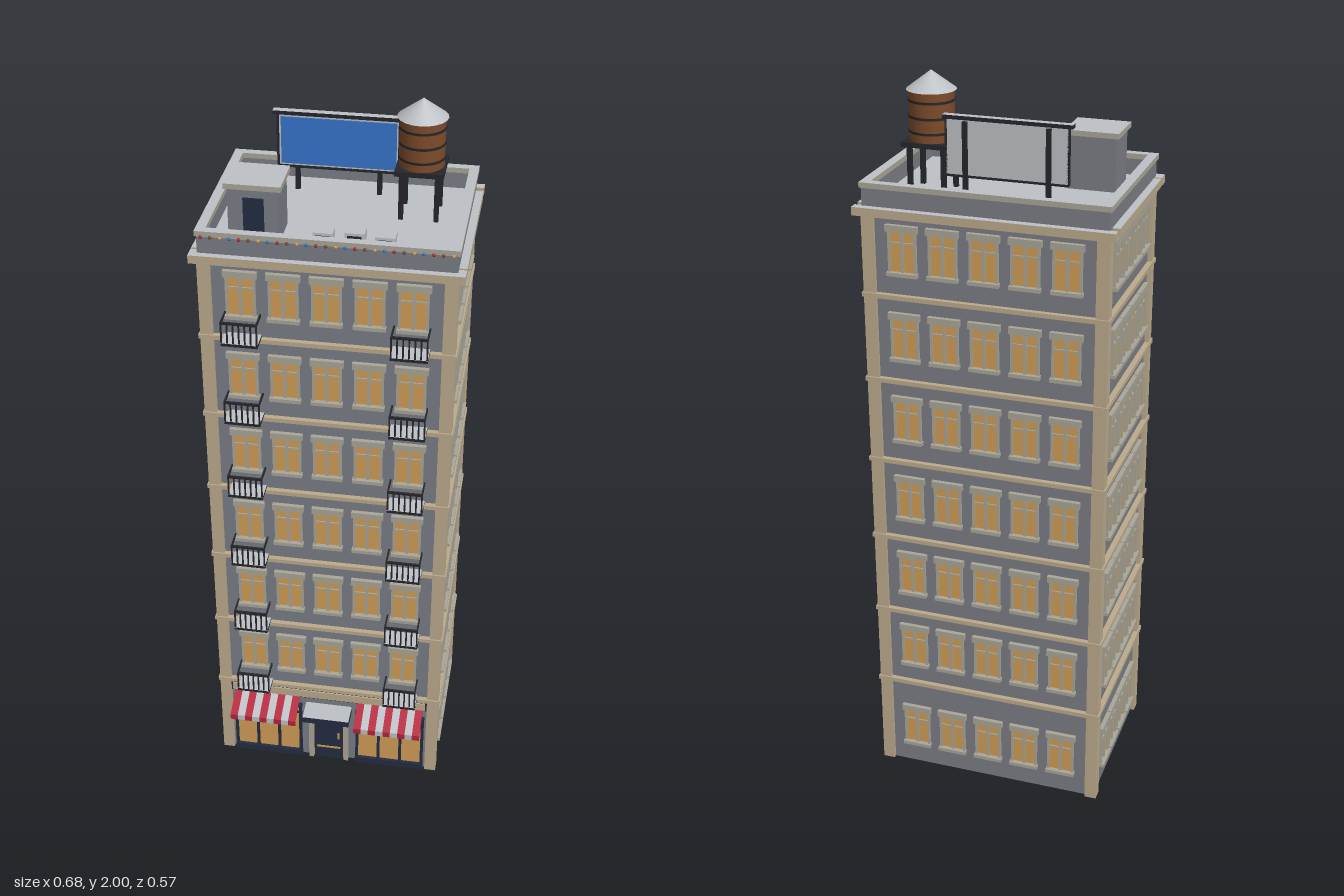
import * as THREE from 'three';

const mat = (name, color, side = THREE.FrontSide) => {
  const m = new THREE.MeshStandardMaterial({ color, side });
  m.name = name;
  return m;
};

export function createModel() {
  const wall = mat('wallGrey', 0x7a7d85, THREE.DoubleSide);
  const tan = mat('tanStone', 0xbbaa8c);
  const stone = mat('windowStone', 0xa9a598);
  const amber = mat('amberGlass', 0xd09c55);
  const navy = mat('navyPaint', 0x232c42);
  const iron = mat('darkIron', 0x25262a);
  const red = mat('awningRed', 0xb5233c);
  const pale = mat('paleGrey', 0xbdc0c4, THREE.DoubleSide);
  const blue = mat('panelBlue', 0x3573c8);
  const brown = mat('tankWood', 0x7d4a2a);
  const topped = (m) => [m, m, pale, m, m, m];

  const root = new THREE.Group();
  root.name = 'building';
  const unit = new THREE.BoxGeometry(1, 1, 1);
  const group = (name, parent = root) => {
    const g = new THREE.Group();
    g.name = name;
    parent.add(g);
    return g;
  };
  // box given by its ranges on each axis
  const box = (name, m, x0, x1, y0, y1, z0, z1, parent = root) => {
    const b = new THREE.Mesh(unit, m);
    b.name = name;
    b.scale.set(x1 - x0, y1 - y0, z1 - z0);
    b.position.set((x0 + x1) / 2, (y0 + y1) / 2, (z0 + z1) / 2);
    parent.add(b);
    return b;
  };

  const W = 0.312, ZF = 0.2, ZB = -0.258, ZC = -0.029, TOP = 1.69;
  const bases = [0.28, 0.515, 0.75, 0.985, 1.22, 1.455];

  // hollow shell, open underneath, with a ceiling over the shop
  const shell = new THREE.BufferGeometry().copy(new THREE.BoxGeometry(2 * W, TOP, ZF - ZB));
  const idx = Array.from(shell.index.array);
  idx.splice(18, 6);
  shell.setIndex(idx);
  shell.clearGroups();
  const body = new THREE.Mesh(shell, wall);
  body.name = 'walls';
  body.position.set(0, TOP / 2, ZC);
  root.add(body);
  box('shopCeiling', wall, -W, W, 0.275, 0.28, ZB, ZF);
  box('roofDeck', pale, -0.31, 0.31, TOP - 0.004, TOP + 0.002, -0.255, 0.195);

  // corner pilasters
  for (const s of [-1, 1]) {
    const a = s < 0 ? -0.323 : 0.29;
    box('cornerPilaster', tan, a, a + 0.033, 0, 1.67, 0.177, 0.21);
    box('cornerPilaster', tan, a, a + 0.033, 0, 1.67, -0.268, -0.235);
  }

  // floor bands
  for (const y of bases) box('floorBand', tan, -0.327, 0.327, y - 0.006, y + 0.006, -0.272, 0.214);

  // cornice and parapet
  box('cornice', topped(tan), -0.34, 0.34, 1.668, 1.69, 0.19, 0.225);
  box('cornice', topped(tan), -0.34, 0.34, 1.668, 1.69, -0.285, -0.262);
  for (const s of [-1, 1]) {
    const a = s < 0 ? -0.34 : 0.31;
    box('cornice', topped(tan), a, a + 0.03, 1.668, 1.69, -0.243, 0.183);
    const p = s < 0 ? -0.32 : 0.302;
    box('parapet', wall, p, p + 0.018, 1.67, 1.738, -0.263, 0.205);
    const c = s < 0 ? -0.325 : 0.3;
    box('parapetCap', topped(stone), c, c + 0.025, 1.736, 1.75, -0.268, 0.21);
  }
  for (const [z0, z1] of [[0.187, 0.21], [-0.268, -0.245]]) {
    box('parapet', wall, -0.32, 0.32, 1.67, 1.738, z0 + 0.003, z1 - 0.003);
    box('parapetCap', topped(stone), -0.3, 0.3, 1.736, 1.75, z0, z1);
  }

  // string of coloured bulbs along the front parapet
  const bulb = new THREE.SphereGeometry(0.0045, 8, 6);
  const bulbColours = [red, brown, amber, blue];
  for (let i = 0; i < 27; i++) {
    const b = new THREE.Mesh(bulb, bulbColours[i % 4]);
    b.name = 'lightBulb';
    b.position.set(-0.308 + i * 0.0237, 1.736, 0.212);
    root.add(b);
  }

  // one sash window on a wall facing local +z
  const addWindow = (parent, x, y) => {
    const g = group('window', parent);
    g.position.set(x, y, 0);
    const w = 0.035;
    box('glass', amber, -w, w, 0, 0.118, -0.003, 0.003, g);
    box('mullion', stone, -0.004, 0.004, 0, 0.118, 0.003, 0.008, g);
    box('transom', stone, -w, w, 0.074, 0.079, 0.003, 0.007, g);
    for (const s of [-1, 1]) box('jamb', stone, s * w - 0.003, s * w + 0.003, 0, 0.118, 0, 0.009, g);
    box('lintel', stone, -0.043, 0.043, 0.106, 0.124, 0, 0.012, g);
    box('sill', stone, -0.041, 0.041, -0.01, 0, 0, 0.016, g);
  };
  const face = (name, x, z, turn, offsets, levels) => {
    const g = group(name);
    g.position.set(x, 0, z);
    g.rotation.y = turn;
    for (const y of levels) for (const o of offsets) addWindow(g, o, y);
  };
  const five = [-0.216, -0.108, 0, 0.108, 0.216];
  const four = [-0.135, -0.045, 0.045, 0.135];
  const upper = bases.map((y) => y + 0.068);
  const all = [0.073, ...upper];
  face('frontWindows', 0, ZF, 0, five, upper);
  face('backWindows', 0, ZB, Math.PI, five, all);
  face('leftWindows', W, ZC, Math.PI / 2, four, all);
  face('rightWindows', -W, ZC, -Math.PI / 2, four, all);

  // balconies
  for (const y of bases) for (const s of [-1, 1]) {
    const g = group('balcony');
    g.position.set(s * 0.213, y, 0);
    box('slab', topped(iron), -0.047, 0.047, 0.004, 0.012, ZF, 0.257, g);
    box('frontRail', iron, -0.047, 0.047, 0.066, 0.072, 0.251, 0.257, g);
    for (const e of [-1, 1]) box('sideRail', iron, e * 0.045 - 0.002, e * 0.045 + 0.002, 0.066, 0.072, ZF, 0.255, g);
    for (let i = 0; i < 7; i++) {
      const x = -0.045 + i * 0.015;
      box('baluster', iron, x - 0.002, x + 0.002, 0.01, 0.07, 0.252, 0.256, g);
    }
  }

  // shopfronts with striped awnings
  for (const s of [-1, 1]) {
    const g = group('shopfront');
    g.position.x = s * 0.182;
    box('shopGlass', amber, -0.096, 0.096, 0.02, 0.2, 0.196, 0.204, g);
    box('shopBase', navy, -0.102, 0.102, 0, 0.02, ZF, 0.213, g);
    box('shopHead', navy, -0.102, 0.102, 0.196, 0.206, ZF, 0.212, g);
    box('shopTransom', navy, -0.098, 0.098, 0.172, 0.177, ZF, 0.21, g);
    for (let i = 0; i < 4; i++) {
      const x = -0.097 + i * 0.0647;
      box('shopPost', navy, x - 0.004, x + 0.004, 0, 0.2, ZF, 0.211, g);
    }
    // awning stripes: sloping sheet with a short valance
    const n = 9, w = 0.193 / n;
    for (let i = 0; i < n; i++) {
      const profile = new THREE.Shape();
      profile.moveTo(0.2, 0.243);
      profile.lineTo(0.285, 0.21);
      profile.lineTo(0.285, 0.192);
      profile.lineTo(0.281, 0.192);
      profile.lineTo(0.281, 0.207);
      profile.lineTo(0.2, 0.238);
      const geo = new THREE.ExtrudeGeometry(profile, { depth: w, bevelEnabled: false });
      geo.rotateY(-Math.PI / 2);
      const stripe = new THREE.Mesh(geo, i % 2 ? pale : red);
      stripe.name = 'awningStripe';
      stripe.position.x = -0.0965 + (i + 1) * w;
      g.add(stripe);
    }
  }
  box('fasciaBacking', navy, -0.29, 0.29, 0.238, 0.272, ZF, 0.209);
  box('fascia', tan, -0.285, 0.285, 0.243, 0.268, 0.205, 0.213);

  // entrance
  const door = group('entrance');
  box('doorPane', amber, -0.045, 0.045, 0, 0.19, 0.196, 0.203, door);
  box('doorLeaf', navy, -0.043, 0.043, 0, 0.175, ZF, 0.208, door);
  box('doorRail', amber, -0.035, 0.035, 0.042, 0.048, 0.206, 0.21, door);
  box('doorHandle', amber, 0.027, 0.033, 0.085, 0.105, 0.206, 0.214, door);
  for (const s of [-1, 1]) box('doorJamb', stone, s * 0.052 - 0.007, s * 0.052 + 0.007, 0, 0.19, ZF, 0.213, door);
  box('doorCanopy', topped(navy), -0.068, 0.068, 0.192, 0.212, ZF, 0.265, door);

  // stair house
  const stair = group('stairHouse');
  box('stairWalls', wall, -0.257, -0.13, TOP, 1.835, 0.023, 0.132, stair);
  box('stairRoof', topped(stone), -0.265, -0.122, 1.833, 1.847, 0.015, 0.14, stair);
  box('stairDoor', navy, -0.218, -0.166, TOP, 1.81, 0.13, 0.136, stair);

  // rooftop air units
  for (const [x, z] of [[-0.0225, 0.109], [0.055, 0.099], [0.132, 0.109]]) {
    box('airUnit', pale, x - 0.025, x + 0.025, TOP, 1.727, z - 0.019, z + 0.019);
    box('airGrille', iron, x - 0.018, x + 0.018, 1.698, 1.72, z + 0.018, z + 0.021);
  }

  // billboard
  const board = group('billboard');
  box('boardBack', pale, -0.188, 0.126, 1.762, 1.905, -0.175, -0.166, board);
  box('boardPanel', blue, -0.18, 0.119, 1.769, 1.896, -0.168, -0.163, board);
  box('boardTopRail', topped(iron), -0.2, 0.134, 1.903, 1.913, -0.178, -0.159, board);
  for (const x of [-0.188, 0.126]) box('boardSide', iron, x - 0.003, x + 0.003, 1.76, 1.905, -0.175, -0.163, board);
  box('boardBottom', iron, -0.19, 0.128, 1.758, 1.764, -0.176, -0.163, board);
  for (const x of [-0.14, 0.075]) box('boardPost', iron, x - 0.006, x + 0.006, TOP, 1.9, -0.184, -0.173, board);

  // water tank on its stand
  const tank = group('waterTank');
  tank.position.set(0.192, 0, -0.094);
  const drum = (name, m, r0, r1, y0, y1) => {
    const d = new THREE.Mesh(new THREE.CylinderGeometry(r1, r0, y1 - y0, 20), m);
    d.name = name;
    d.position.y = (y0 + y1) / 2;
    tank.add(d);
  };
  for (const x of [-0.045, 0.045]) for (const z of [-0.045, 0.045])
    box('tankLeg', iron, x - 0.006, x + 0.006, TOP, 1.82, z - 0.006, z + 0.006, tank);
  box('tankPlatform', iron, -0.062, 0.062, 1.815, 1.827, -0.062, 0.062, tank);
  drum('tankBarrel', brown, 0.058, 0.058, 1.827, 1.955);
  for (const y of [1.85, 1.888, 1.928]) drum('tankHoop', iron, 0.06, 0.06, y - 0.003, y + 0.003);
  drum('tankRoof', pale, 0.064, 0.001, 1.953, 2);

  return root;
}
